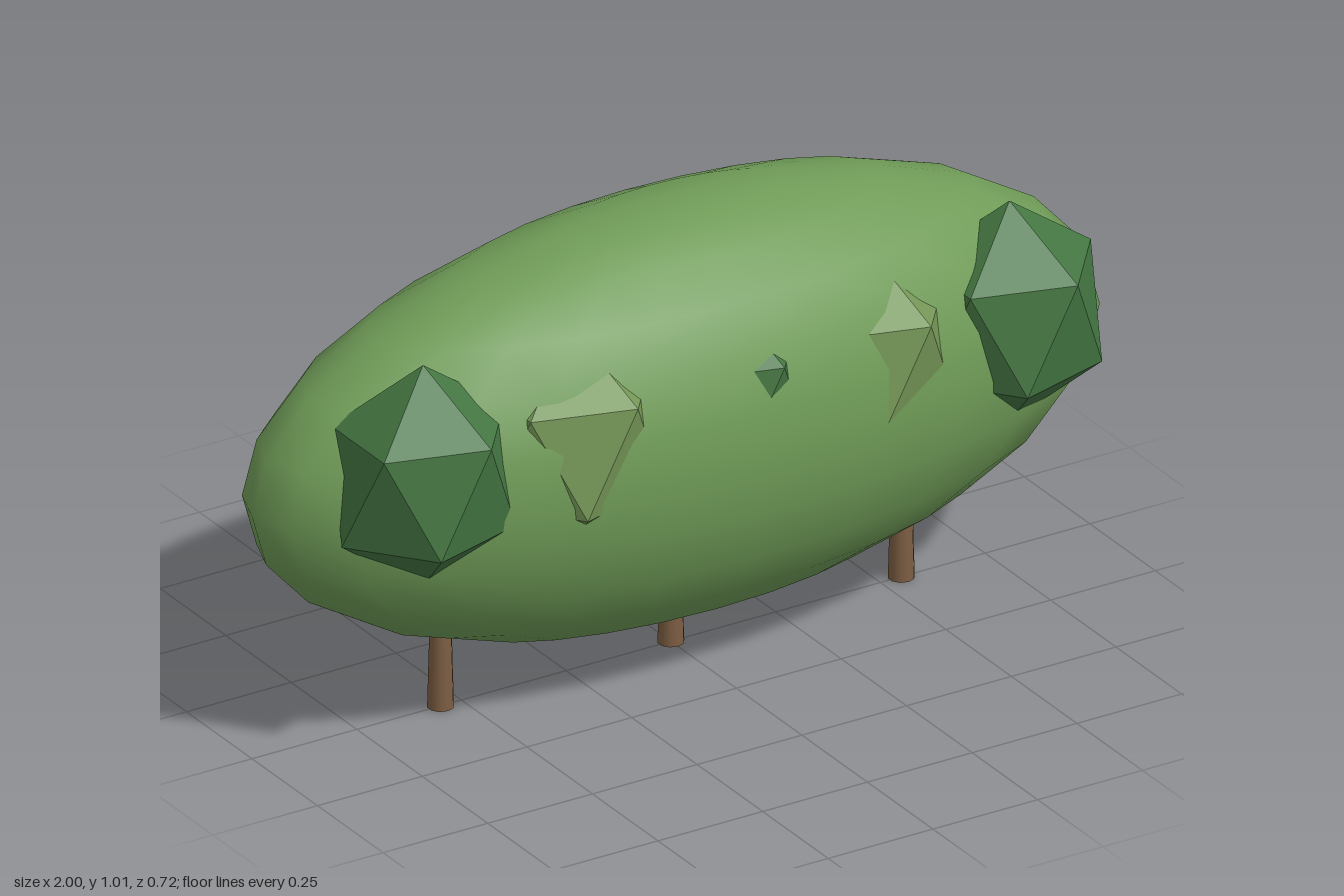
import * as THREE from 'three';

const mat = (name, color) => {
  const m = new THREE.MeshStandardMaterial({ color });
  m.name = name;
  return m;
};

export function createModel() {
  const group = new THREE.Group();
  group.name = 'hedge';

  const leaf = mat('leafGreen', 0x6f9b57);
  const clumpDark = mat('darkClumpGreen', 0x447642);
  const clumpLight = mat('lightClumpGreen', 0x749656);
  const bark = mat('barkBrown', 0x7d5e43);

  const add = (name, geometry, material, x, y, z) => {
    const mesh = new THREE.Mesh(geometry, material);
    mesh.name = name;
    mesh.position.set(x, y, z);
    group.add(mesh);
  };

  // Long smooth foliage body
  const body = new THREE.SphereGeometry(1, 24, 12);
  body.scale(1, 0.459, 0.359);
  add('foliage', body, leaf, 0, 0.548, 0);

  // Three short tapered trunks
  const trunk = new THREE.CylinderGeometry(0.02, 0.028, 0.3, 10);
  for (const x of [-0.55, 0, 0.55]) add('trunk', trunk, bark, x, 0.15, 0);

  // Five faceted leaf clumps along the front, standing on a corner, alternating in colour
  const clump = new THREE.IcosahedronGeometry(1, 0);
  clump.rotateZ(-Math.atan2(1, (1 + Math.sqrt(5)) / 2));
  clump.scale(0.217, 0.25, 0.195);
  clump.computeVertexNormals();
  for (let i = 0; i < 5; i++) {
    add('leafClump', clump, i % 2 ? clumpLight : clumpDark, (i - 2) * 0.35, 0.635, 0.173);
  }

  return group;
}
